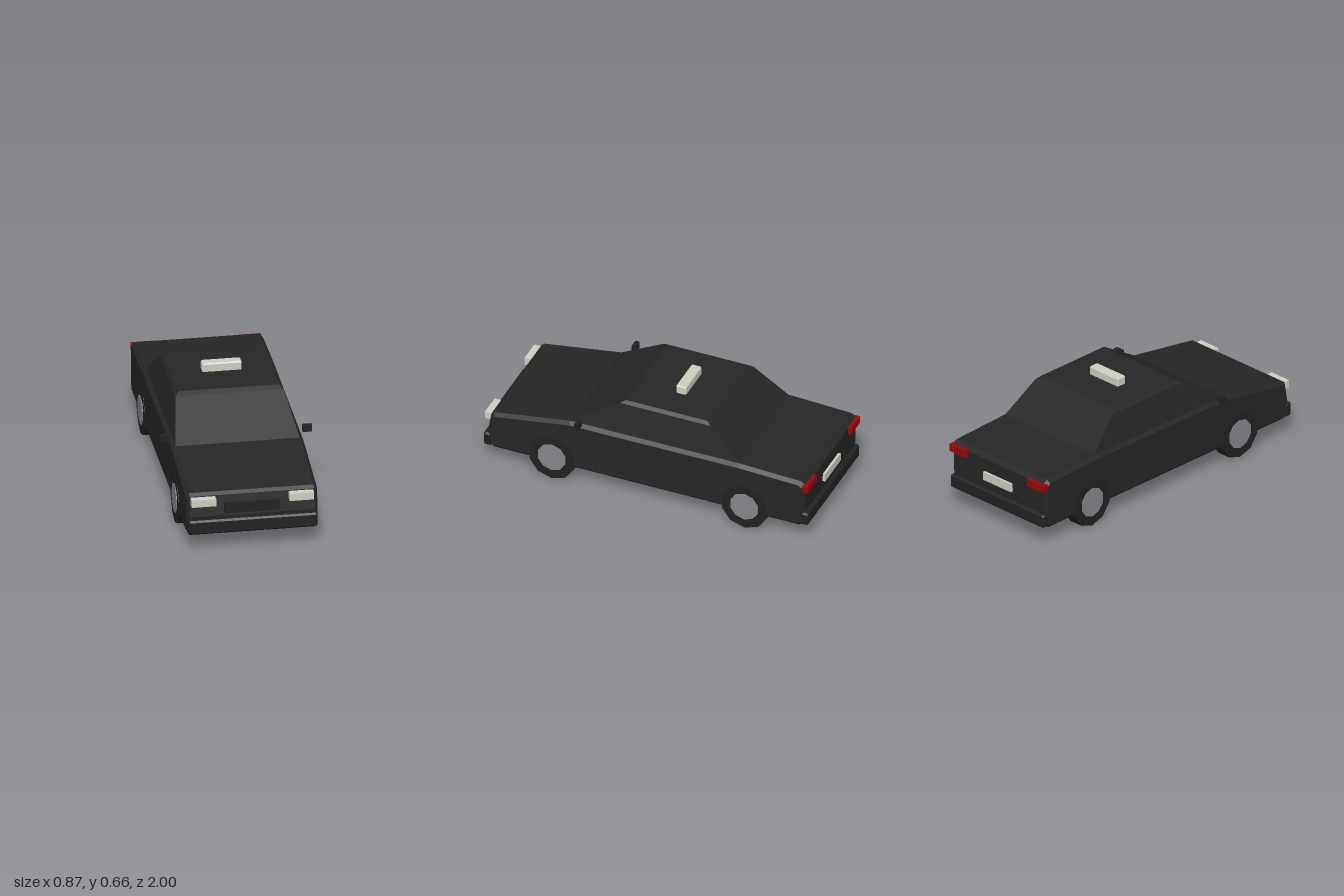
import * as THREE from 'three';
import { ConvexGeometry } from 'three/addons/geometries/ConvexGeometry.js';

const material = (name, color) => {
  const m = new THREE.MeshStandardMaterial({ color });
  m.name = name;
  return m;
};

export function createModel() {
  const car = new THREE.Group();
  car.name = 'car';

  const paint = material('black paint', 0x262626);
  const trim = material('dark trim', 0x222222);
  const rubber = material('tyre rubber', 0x222222);
  const steel = material('wheel steel', 0x86878c);
  const lamp = material('pale lamp', 0xcfcfc3);
  const red = material('tail red', 0x9a0808);

  const add = (name, geometry, mat, x = 0, y = 0, z = 0) => {
    const mesh = new THREE.Mesh(geometry, mat);
    mesh.name = name;
    mesh.position.set(x, y, z);
    car.add(mesh);
    return mesh;
  };

  // Side profile of [z, y] points, extruded across the car with chamfered edges
  const across = (points, halfWidth, bevel) => {
    const shape = new THREE.Shape(points.map(([z, y]) => new THREE.Vector2(z, y)));
    const depth = 2 * (halfWidth - bevel);
    const g = new THREE.ExtrudeGeometry(shape, {
      depth, bevelEnabled: true, bevelThickness: bevel,
      bevelSize: bevel, bevelOffset: -bevel, bevelSegments: 1,
    });
    return g.translate(0, 0, -depth / 2).rotateY(-Math.PI / 2);
  };

  // Rectangular bar with all edges chamfered
  const bar = (halfWidth, y0, y1, z0, z1, c) => across([
    [z0 + c, y0], [z1 - c, y0], [z1, y0 + c], [z1, y1 - c],
    [z1 - c, y1], [z0 + c, y1], [z0, y1 - c], [z0, y0 + c],
  ], halfWidth, c);

  const box = (w, h, d) => new THREE.BoxGeometry(w, h, d);

  const facetedDisc = (radius, width) => {
    const g = new THREE.CylinderGeometry(radius, radius, width, 10)
      .rotateZ(Math.PI / 2).toNonIndexed();
    g.computeVertexNormals();
    return g;
  };

  // Lower body
  add('body', across([
    [-0.94, 0.095], [0.94, 0.095], [0.965, 0.12], [0.975, 0.2], [0.955, 0.32],
    [0.935, 0.335], [0.47, 0.41], [-0.57, 0.415], [-0.95, 0.4], [-0.978, 0.375],
    [-0.972, 0.2], [-0.96, 0.115],
  ], 0.376, 0.02), paint);

  // Cabin: tapering rings of [y, half width, front z, back z]
  const corners = [];
  for (const [y, w, front, back] of [
    [0.4, 0.357, 0.485, -0.585],
    [0.585, 0.308, 0.185, -0.37],
    [0.602, 0.29, 0.155, -0.345],
  ]) {
    for (const s of [-1, 1]) {
      corners.push(new THREE.Vector3(s * w, y, front), new THREE.Vector3(s * w, y, back));
    }
  }
  add('cabin', new ConvexGeometry(corners), paint);

  // Bumpers, grille, number plate and roof sign
  add('frontBumper', bar(0.37, 0.1, 0.185, 0.95, 1.0, 0.01), trim);
  add('rearBumper', bar(0.37, 0.108, 0.19, -0.995, -0.945, 0.01), trim);
  add('grille', box(0.32, 0.06, 0.03), trim, 0, 0.245, 0.968);
  add('rearPlate', box(0.22, 0.05, 0.016), lamp, 0, 0.27, -0.982);
  add('roofSign', bar(0.113, 0.595, 0.652, -0.135, -0.073, 0.006), lamp);

  for (const s of [-1, 1]) {
    const side = s > 0 ? 'left' : 'right';

    // Lights and mirrors
    add(side + 'Headlight', box(0.14, 0.044, 0.05), lamp, s * 0.28, 0.293, 0.973);
    add(side + 'TailLight', box(0.13, 0.044, 0.035), red, s * 0.307, 0.358, -0.978);
    add(side + 'Mirror', box(0.053, 0.04, 0.026), trim, s * 0.408, 0.436, 0.4);

    // Wheels with plain hub discs
    for (const [end, z] of [['Front', 0.575], ['Rear', -0.608]]) {
      add(side + end + 'Tyre', facetedDisc(0.144, 0.088), rubber, s * 0.334, 0.137, z)
        .rotation.x = Math.PI / 2;
      add(side + end + 'Hub', facetedDisc(0.088, 0.02), steel, s * 0.372, 0.14, z)
        .rotation.x = Math.PI / 2;
    }
  }
  return car;
}
